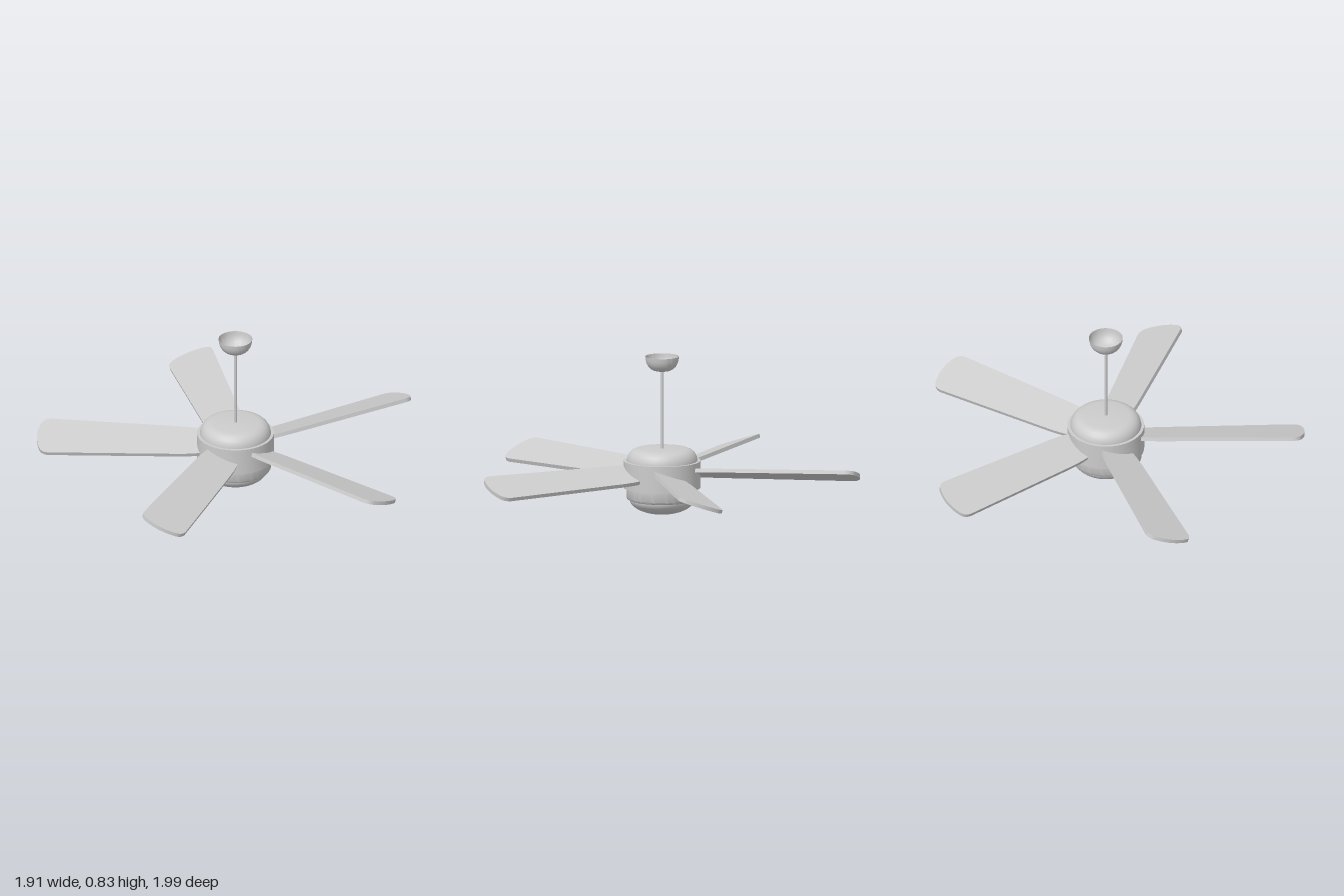
import * as THREE from 'three';
import { toCreasedNormals } from 'three/addons/utils/BufferGeometryUtils.js';

const AXIS_X = -0.08;
const BLADE_COUNT = 5;
const BLADE_Y = 0.219;
const BLADE_PITCH = THREE.MathUtils.degToRad(18.5);
const BLADE_THICKNESS = 0.02;

const material = new THREE.MeshStandardMaterial({ color: 0xcccccc });
const openMaterial = new THREE.MeshStandardMaterial({ color: 0xcccccc, side: THREE.DoubleSide });

// Turned part: profile of [radius, height] pairs listed from bottom to top
function turned(name, profile, mat = material) {
  const points = profile.map(([r, y]) => new THREE.Vector2(r, y));
  const geometry = toCreasedNormals(new THREE.LatheGeometry(points, 64), 0.7);
  const mesh = new THREE.Mesh(geometry, mat);
  mesh.name = name;
  return mesh;
}

// Quarter-ellipse profile rising from the axis to the rim
function bowlProfile(radius, bottom, height, steps = 16) {
  return Array.from({ length: steps + 1 }, (_, i) => {
    const a = (i / steps) * Math.PI / 2;
    return [radius * Math.sin(a), bottom + height * (1 - Math.cos(a))];
  });
}

// Blade outline runs along +x, widening to a rounded, slightly bowed tip
function bladeGeometry() {
  const s = new THREE.Shape();
  s.moveTo(0.15, -0.08);
  s.quadraticCurveTo(0.2, -0.096, 0.3, -0.1);
  s.lineTo(0.965, -0.122);
  s.quadraticCurveTo(1.007, -0.122, 1.02, -0.085);
  s.quadraticCurveTo(1.05, 0, 1.02, 0.085);
  s.quadraticCurveTo(1.007, 0.122, 0.965, 0.122);
  s.lineTo(0.3, 0.1);
  s.quadraticCurveTo(0.2, 0.096, 0.15, 0.08);
  s.closePath();
  const geometry = new THREE.ExtrudeGeometry(s, {
    depth: BLADE_THICKNESS, bevelEnabled: false, curveSegments: 12,
  });
  geometry.translate(0, 0, -BLADE_THICKNESS / 2);
  geometry.rotateX(Math.PI / 2 - BLADE_PITCH);
  return toCreasedNormals(geometry, 0.6);
}

export function createModel() {
  const fan = new THREE.Group();
  fan.name = 'ceilingFan';
  fan.position.x = AXIS_X;

  // Ceiling cup, open at the top
  fan.add(turned('canopy', [
    [0, 0.754], [0.03, 0.755], [0.046, 0.759], [0.06, 0.767], [0.072, 0.779],
    [0.081, 0.795], [0.086, 0.812], [0.088, 0.832],
  ], openMaterial));

  // Hanging rod
  const rod = new THREE.Mesh(new THREE.CylinderGeometry(0.008, 0.008, 0.43, 20), material);
  rod.name = 'downRod';
  rod.position.y = 0.545;
  fan.add(rod);

  // Motor housing with a rounded shoulder
  fan.add(turned('motorTop', [
    [0.185, 0.26], [0.185, 0.283], [0.181, 0.302], [0.172, 0.32],
    [0.158, 0.334], [0.14, 0.342], [0.12, 0.345], [0, 0.345],
  ]));

  // Wider rotating band that carries the blades
  fan.add(turned('bladeRing', [
    [0.17, 0.14], [0.2, 0.14], [0.2, 0.282], [0.18, 0.282],
  ]));

  // Lower housing
  fan.add(turned('lowerHousing', [
    [0.16, 0.077], [0.174, 0.077], [0.182, 0.081], [0.186, 0.089], [0.186, 0.145],
  ]));

  // Light bowl
  fan.add(turned('lightBowl', bowlProfile(0.17, 0, 0.08)));

  // Pitched blades around the ring
  const blade = bladeGeometry();
  for (let i = 0; i < BLADE_COUNT; i++) {
    const mesh = new THREE.Mesh(blade, material);
    mesh.name = `blade${i + 1}`;
    mesh.position.y = BLADE_Y;
    mesh.rotation.y = (i / BLADE_COUNT) * Math.PI * 2;
    fan.add(mesh);
  }

  const model = new THREE.Group();
  model.name = 'model';
  model.add(fan);
  return model;
}
